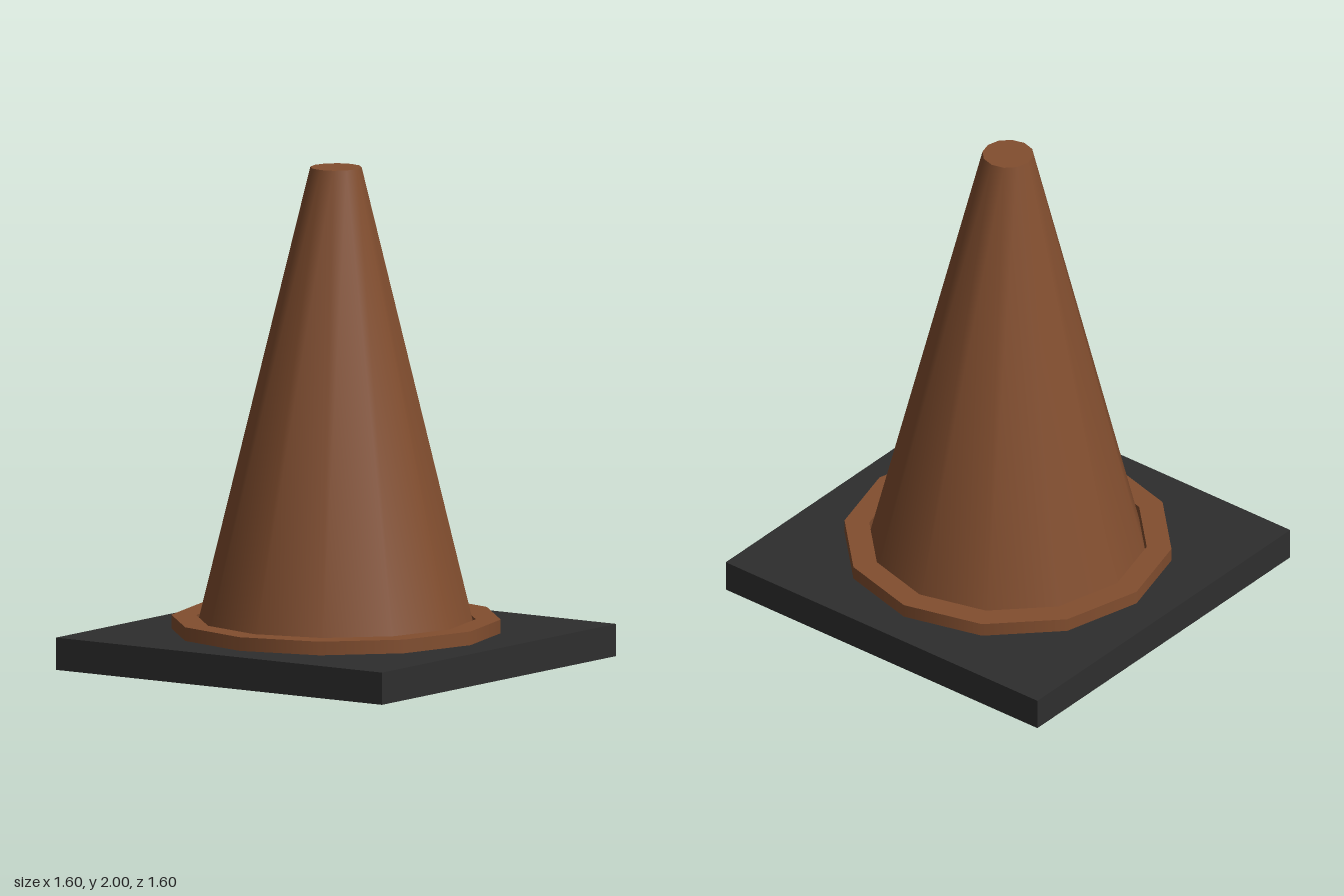
import * as THREE from 'three';

export function createModel() {
  const group = new THREE.Group();
  const brown = new THREE.MeshStandardMaterial({ color: 0x824e2f, side: THREE.DoubleSide });
  brown.name = 'burnt orange';
  const dark = new THREE.MeshStandardMaterial({ color: 0x2e2e2e, side: THREE.DoubleSide });
  dark.name = 'dark rubber';

  const add = (name, geometry, material, y) => {
    const mesh = new THREE.Mesh(geometry, material);
    mesh.name = name;
    mesh.position.y = y;
    group.add(mesh);
  };

  const SIDES = 12;
  const BASE = 0.13, COLLAR = 0.055, TOP = 2;

  // Square foot: a hollow shell, open underneath (the fourth box face is dropped)
  const foot = new THREE.BoxGeometry(1.6, BASE, 1.6);
  foot.setIndex(Array.from(foot.index.array).filter((_, i) => i < 18 || i >= 24));
  foot.clearGroups();
  add('foot', foot, dark, BASE / 2);

  // Collar: outer wall, inner wall and flat rim
  const wall = (r) => new THREE.CylinderGeometry(r, r, COLLAR, SIDES, 1, true);
  add('collarOuterWall', wall(0.66), brown, BASE + COLLAR / 2);
  add('collarInnerWall', wall(0.56), brown, BASE + COLLAR / 2);
  const rim = new THREE.RingGeometry(0.56, 0.66, SIDES).rotateX(-Math.PI / 2);
  add('collarRim', rim, brown, BASE + COLLAR);

  // Tapered body with a flat cap
  const height = TOP - BASE;
  add('coneBody', new THREE.CylinderGeometry(0.103, 0.56, height, SIDES, 1, true), brown, BASE + height / 2);
  add('coneCap', new THREE.CircleGeometry(0.103, SIDES).rotateX(-Math.PI / 2), brown, TOP);

  return group;
}
